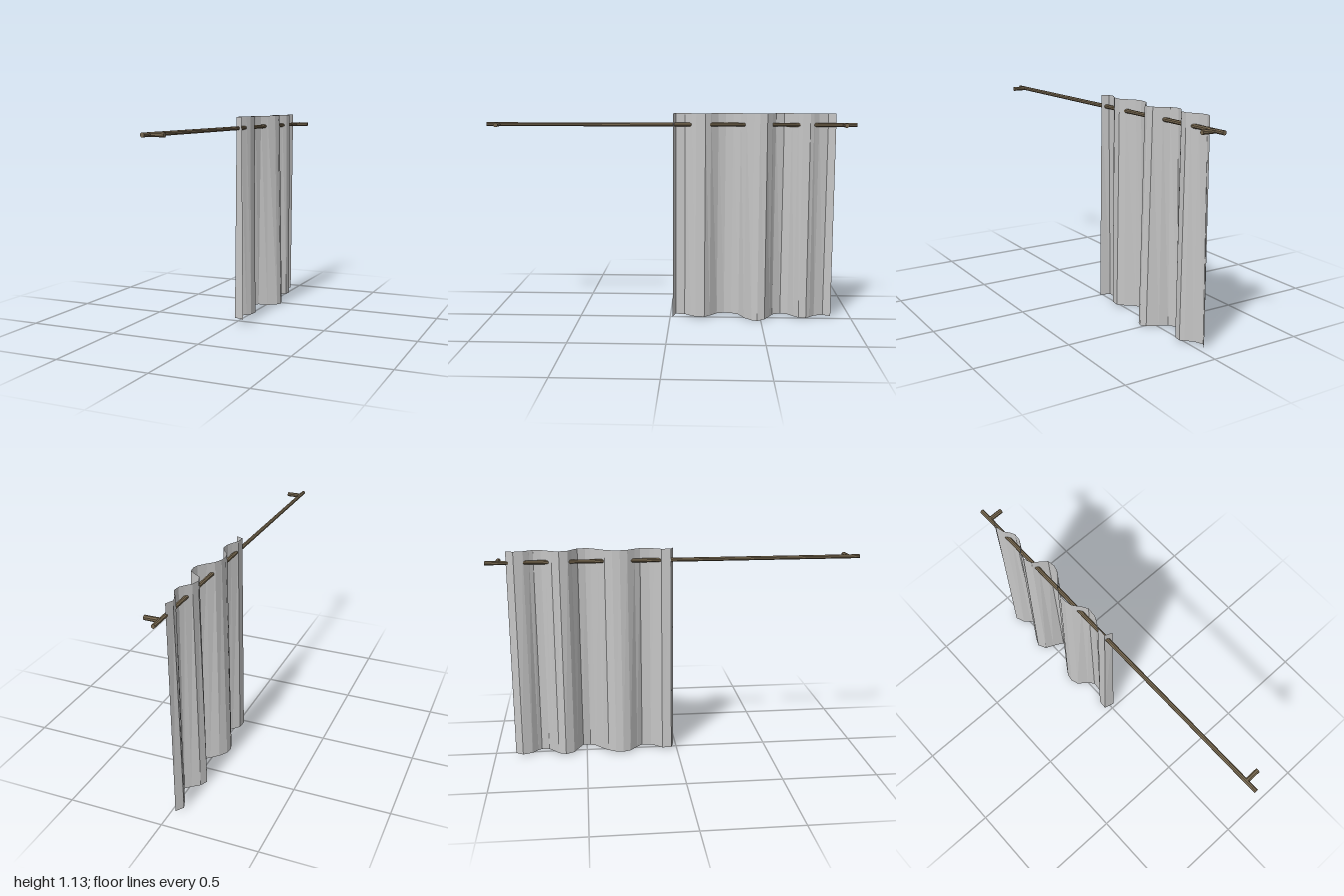
import * as THREE from 'three';

const ROD_X = -0.011, ROD_Y = 1.067, TOP = 1.128;

// Fold line of the hem as [z, x] pairs
const FOLDS = [
  [-0.015, 0.022], [-0.03, -0.034], [-0.08, -0.031], [-0.115, 0.0], [-0.14, 0.018], [-0.19, 0.023],
  [-0.22, -0.005], [-0.26, -0.054], [-0.3, -0.068], [-0.34, -0.062], [-0.38, -0.036], [-0.41, 0.008],
  [-0.45, 0.056], [-0.48, 0.068], [-0.52, 0.058], [-0.55, 0.0], [-0.57, -0.044], [-0.615, -0.068],
  [-0.655, -0.05], [-0.685, -0.012], [-0.71, 0.015], [-0.75, 0.02], [-0.77, 0.004], [-0.8, -0.03],
  [-0.85, -0.049], [-0.89, -0.022],
];

// Pleated sheet: the folds are shallower at the top than at the hem
function curtainGeometry() {
  const positions = [], index = [];
  FOLDS.forEach(([z, x], i) => {
    const hem = z < -0.39 && z > -0.5 ? 0 : 0.007;
    positions.push(x, hem, z, -0.004 + (x + 0.004) * 0.65, TOP, z);
    if (i > 0) {
      const a = 2 * (i - 1);
      index.push(a, a + 2, a + 1, a + 1, a + 2, a + 3);
    }
  });
  const geometry = new THREE.BufferGeometry();
  geometry.setAttribute('position', new THREE.Float32BufferAttribute(positions, 3));
  geometry.setIndex(index);
  const flat = geometry.toNonIndexed();
  flat.computeVertexNormals();
  return flat;
}

export function createModel() {
  const group = new THREE.Group();
  const fabric = new THREE.MeshStandardMaterial({ color: 0xc6c6c6, side: THREE.DoubleSide, flatShading: true });
  fabric.name = 'greyFabric';
  const metal = new THREE.MeshStandardMaterial({ color: 0x76674f, flatShading: true });
  metal.name = 'bronzeMetal';

  const add = (name, geometry, material) => {
    const mesh = new THREE.Mesh(geometry, material);
    mesh.name = name;
    group.add(mesh);
    return mesh;
  };

  add('curtain', curtainGeometry(), fabric);

  // Rod along z
  const rod = add('rod', new THREE.CylinderGeometry(0.011, 0.011, 2, 8).rotateY(Math.PI / 8).rotateX(Math.PI / 2), metal);
  rod.position.set(ROD_X, ROD_Y, 0);

  // Wall brackets near both ends
  for (const side of [1, -1]) {
    const length = 0.065 - ROD_X;
    const bracket = add(side > 0 ? 'frontBracket' : 'backBracket',
      new THREE.CylinderGeometry(0.012, 0.012, length, 8).rotateY(Math.PI / 8).rotateZ(Math.PI / 2), metal);
    bracket.position.set(ROD_X + length / 2, ROD_Y, side * 0.935);
  }
  return group;
}
